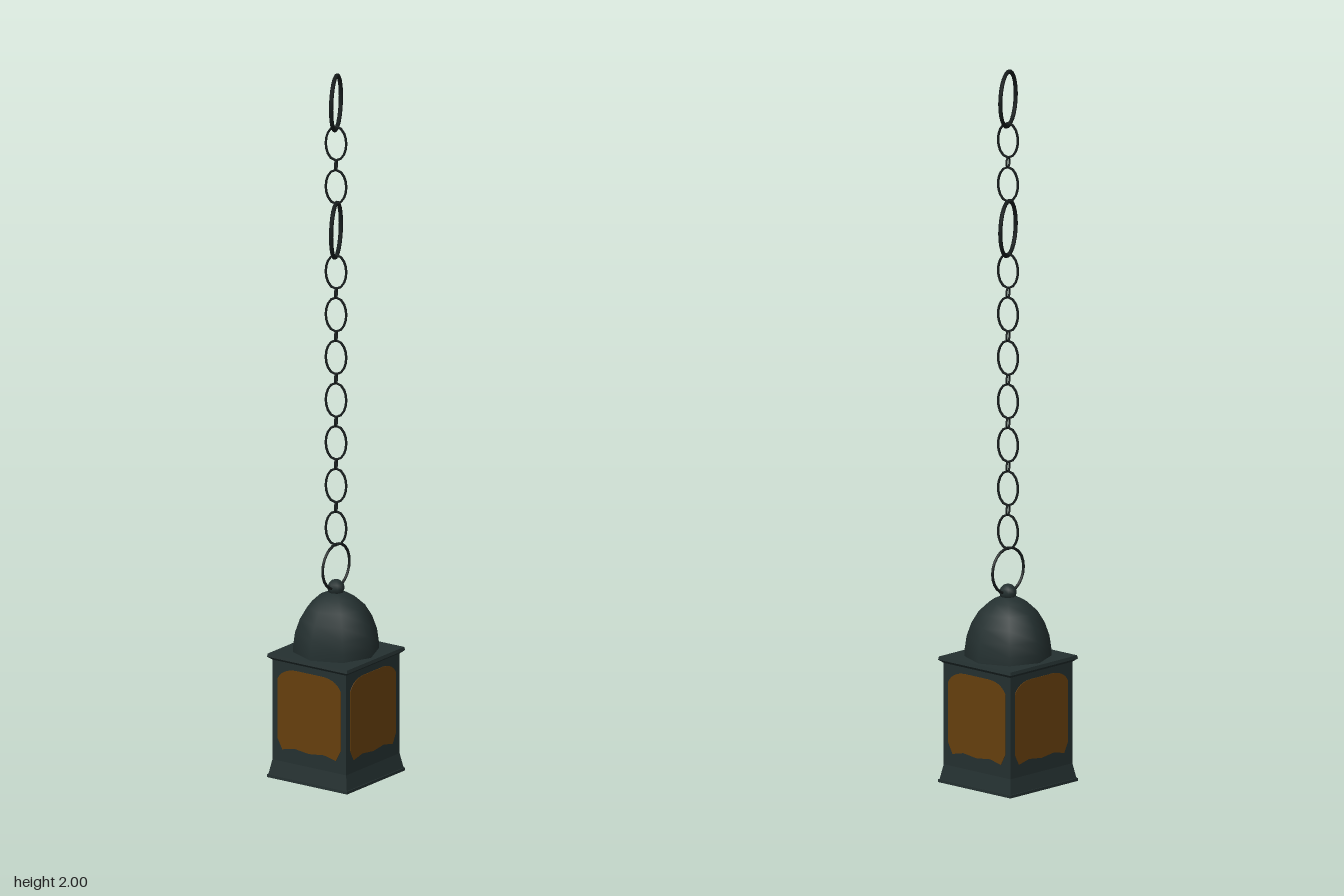
import * as THREE from 'three';
import { toCreasedNormals } from 'three/addons/utils/BufferGeometryUtils.js';

export function createModel() {
  const model = new THREE.Group();
  model.name = 'hangingLantern';

  const mat = (name, color) => {
    const m = new THREE.MeshStandardMaterial({ color });
    m.name = name;
    return m;
  };
  const iron = mat('dark green iron', 0x243030);
  const chainIron = mat('black chain iron', 0x171d1d);
  const glass = mat('amber glass', 0x663f0d);

  const add = (name, geometry, material, parent = model) => {
    const mesh = new THREE.Mesh(geometry, material);
    mesh.name = name;
    parent.add(mesh);
    return mesh;
  };

  // Square tapered block between two heights, given half widths
  const block = (name, y0, y1, half0, half1) => {
    const g = new THREE.CylinderGeometry(half1 * Math.SQRT2, half0 * Math.SQRT2, y1 - y0, 4);
    g.rotateY(Math.PI / 4);
    g.translate(0, (y0 + y1) / 2, 0);
    add(name, toCreasedNormals(g, 0.3), iron);
  };
  block('baseRim', 0, 0.008, 0.135, 0.135);
  block('baseFlare', 0.008, 0.05, 0.132, 0.124);
  block('body', 0.05, 0.335, 0.124, 0.124);
  block('eaveFlare', 0.335, 0.344, 0.124, 0.135);
  block('eave', 0.344, 0.353, 0.135, 0.133);

  // Eight-sided dome
  const domeProfile = [
    [0.118, 0.35], [0.118, 0.375], [0.113, 0.41], [0.1, 0.447],
    [0.08, 0.48], [0.05, 0.507], [0.02, 0.521], [0, 0.523],
  ].map(([r, y]) => new THREE.Vector2(r, y));
  add('dome', new THREE.LatheGeometry(domeProfile, 8, Math.PI / 2), iron);

  // Finial ball holding the ring
  const ball = add('finial', new THREE.SphereGeometry(0.024, 8, 6), iron);
  ball.position.y = 0.532;

  // Amber panes with rounded upper corners and an uneven lower edge
  const pane = new THREE.Shape();
  pane.moveTo(-0.106, 0.115);
  pane.lineTo(-0.09, 0.085);
  pane.lineTo(-0.05, 0.094);
  pane.lineTo(0, 0.088);
  pane.lineTo(0.05, 0.094);
  pane.lineTo(0.09, 0.085);
  pane.lineTo(0.106, 0.115);
  pane.lineTo(0.106, 0.285);
  pane.quadraticCurveTo(0.09, 0.315, 0.045, 0.317);
  pane.lineTo(-0.045, 0.317);
  pane.quadraticCurveTo(-0.09, 0.315, -0.106, 0.285);
  const paneGeometry = new THREE.ExtrudeGeometry(pane, { depth: 0.003, bevelEnabled: false });
  paneGeometry.translate(0, 0, 0.1225);
  for (let i = 0; i < 4; i++) {
    add('pane' + (i + 1), paneGeometry, glass).rotation.y = (i * Math.PI) / 2;
  }

  // Oval ring: outer half width and half height, tube radius, turn about y
  const chain = new THREE.Group();
  chain.name = 'chain';
  model.add(chain);
  const ring = (name, y, rx, ry, tube, turn, segments = 24) => {
    const points = [];
    for (let i = 0; i < segments; i++) {
      const a = (i / segments) * Math.PI * 2;
      points.push(new THREE.Vector3(Math.cos(a) * (rx - tube), Math.sin(a) * (ry - tube), 0));
    }
    const curve = new THREE.CatmullRomCurve3(points, true);
    const mesh = add(name, new THREE.TubeGeometry(curve, segments, tube, 6, true), chainIron, chain);
    mesh.position.y = y;
    mesh.rotation.y = turn;
  };

  const turn = 0.42;
  ring('topRing', 1.918, 0.071, 0.082, 0.006, turn);
  ring('middleRing', 1.554, 0.071, 0.082, 0.006, turn);
  ring('lanternRing', 0.593, 0.066, 0.067, 0.004, 0);

  // Long links in two runs, joined by small crosswise links
  const run = (top, count, step) => {
    for (let i = 0; i < count; i++) {
      const y = top - i * step;
      ring('link', y, 0.032, 0.052, 0.0035, turn + Math.PI / 2, 16);
      if (i < count - 1) ring('smallLink', y - step / 2, 0.016, 0.017, 0.003, turn, 10);
    }
  };
  run(1.802, 2, 0.124);
  run(1.435, 7, 0.1222);

  return model;
}
